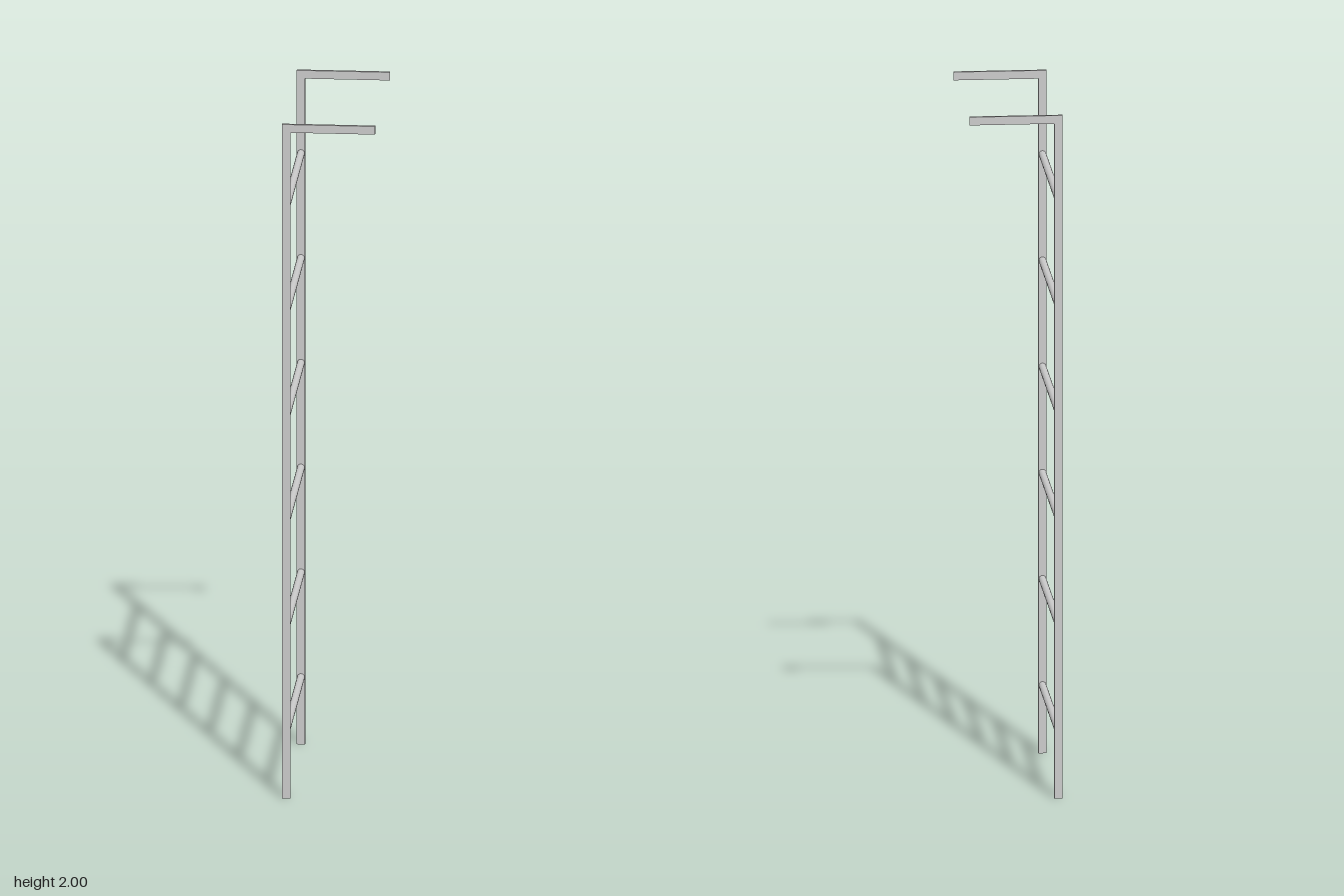
import * as THREE from 'three';

const HALF_X = 0.133;    // half the reach of the top arms
const BAR = 0.024;       // width of the flat bar
const THICK = 0.009;     // thickness of the flat bar
const RAIL_Z = 0.272;    // rail centre line
const HEIGHT = 2;

export function createModel() {
  const model = new THREE.Group();
  model.name = 'wallLadder';
  const material = new THREE.MeshStandardMaterial({ color: 0xcccccc });

  // Side rails: flat bars turned over at the top into a level arm
  const profile = new THREE.Shape([
    [-HALF_X, 0], [-HALF_X + BAR, 0], [-HALF_X + BAR, HEIGHT - BAR],
    [HALF_X, HEIGHT - BAR], [HALF_X, HEIGHT], [-HALF_X, HEIGHT],
  ].map(([x, y]) => new THREE.Vector2(x, y)));
  const railGeometry = new THREE.ExtrudeGeometry(profile, { depth: THICK, bevelEnabled: false });
  railGeometry.translate(0, 0, -THICK / 2);
  for (const side of [-1, 1]) {
    const rail = new THREE.Mesh(railGeometry, material);
    rail.name = side > 0 ? 'frontRail' : 'backRail';
    rail.position.z = side * RAIL_Z;
    model.add(rail);
  }

  // Round rungs, evenly spaced between the rails
  const rungGeometry = new THREE.CylinderGeometry(0.0108, 0.0108, 2 * RAIL_Z - THICK, 24);
  rungGeometry.rotateX(Math.PI / 2);
  for (let i = 0; i < 6; i++) {
    const rung = new THREE.Mesh(rungGeometry, material);
    rung.name = `rung${i + 1}`;
    rung.position.set(-HALF_X + BAR / 2, 0.199 + i * 0.311, 0);
    model.add(rung);
  }
  return model;
}
